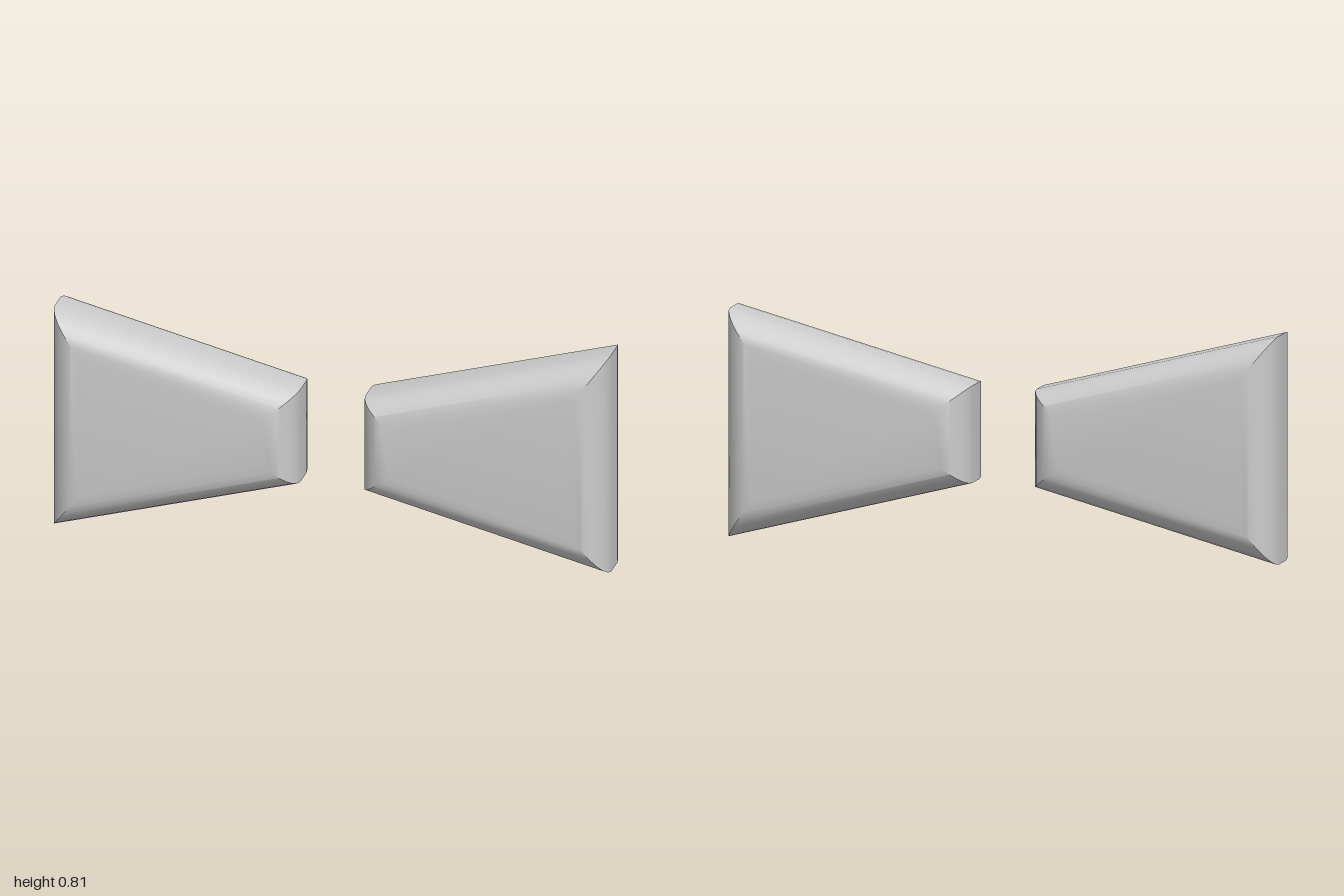
import * as THREE from 'three';
import { toCreasedNormals } from 'three/addons/utils/BufferGeometryUtils.js';

const X_IN = 0.117, X_OUT = 1;          // narrow and wide ends
const H_IN = 0.172, H_OUT = 0.404;      // half heights at those ends
const HALF_DEPTH = 0.153, BEVEL = 0.11, STEPS = 6;

// Trapezoid outline, every side moved inward by the same distance
function outline(inset, z) {
  const slope = (H_OUT - H_IN) / (X_OUT - X_IN);
  const half = (x) => H_IN + slope * (x - X_IN) - inset * Math.hypot(1, slope);
  const a = X_IN + inset, b = X_OUT - inset;
  return [[a, -half(a), z], [b, -half(b), z], [b, half(b), z], [a, half(a), z]];
}

// Wedge with rounded front and back rims, mitred at the corners
function wedgeGeometry() {
  const rings = [];
  for (const side of [-1, 1]) {
    for (let i = 0; i <= STEPS; i++) {
      const t = ((side < 0 ? STEPS - i : i) / STEPS) * Math.PI / 2;
      const z = HALF_DEPTH - BEVEL + BEVEL * Math.sin(t);
      rings.push(outline(BEVEL * (1 - Math.cos(t)), side * z));
    }
  }
  const points = [];
  const quad = (a, b, c, d) => points.push(...a, ...b, ...c, ...a, ...c, ...d);
  for (let k = 0; k < rings.length - 1; k++) {
    for (let j = 0; j < 4; j++) {
      const n = (j + 1) % 4;
      quad(rings[k][j], rings[k][n], rings[k + 1][n], rings[k + 1][j]);
    }
  }
  quad(...rings[rings.length - 1]);      // front face
  quad(...rings[0].slice().reverse());   // back face
  const geometry = new THREE.BufferGeometry();
  geometry.setAttribute('position', new THREE.Float32BufferAttribute(points, 3));
  return toCreasedNormals(geometry, Math.PI / 6);
}

export function createModel() {
  const model = new THREE.Group();
  model.name = 'wedgePair';
  const material = new THREE.MeshStandardMaterial({ color: 0xcccccc });
  const geometry = wedgeGeometry();
  // The wedge is symmetric in depth, so a half turn gives its mirror image
  for (const [name, turn] of [['leftWedge', 0], ['rightWedge', Math.PI]]) {
    const wedge = new THREE.Mesh(geometry, material);
    wedge.name = name;
    wedge.rotation.y = turn;
    wedge.position.y = H_OUT;
    model.add(wedge);
  }
  return model;
}
